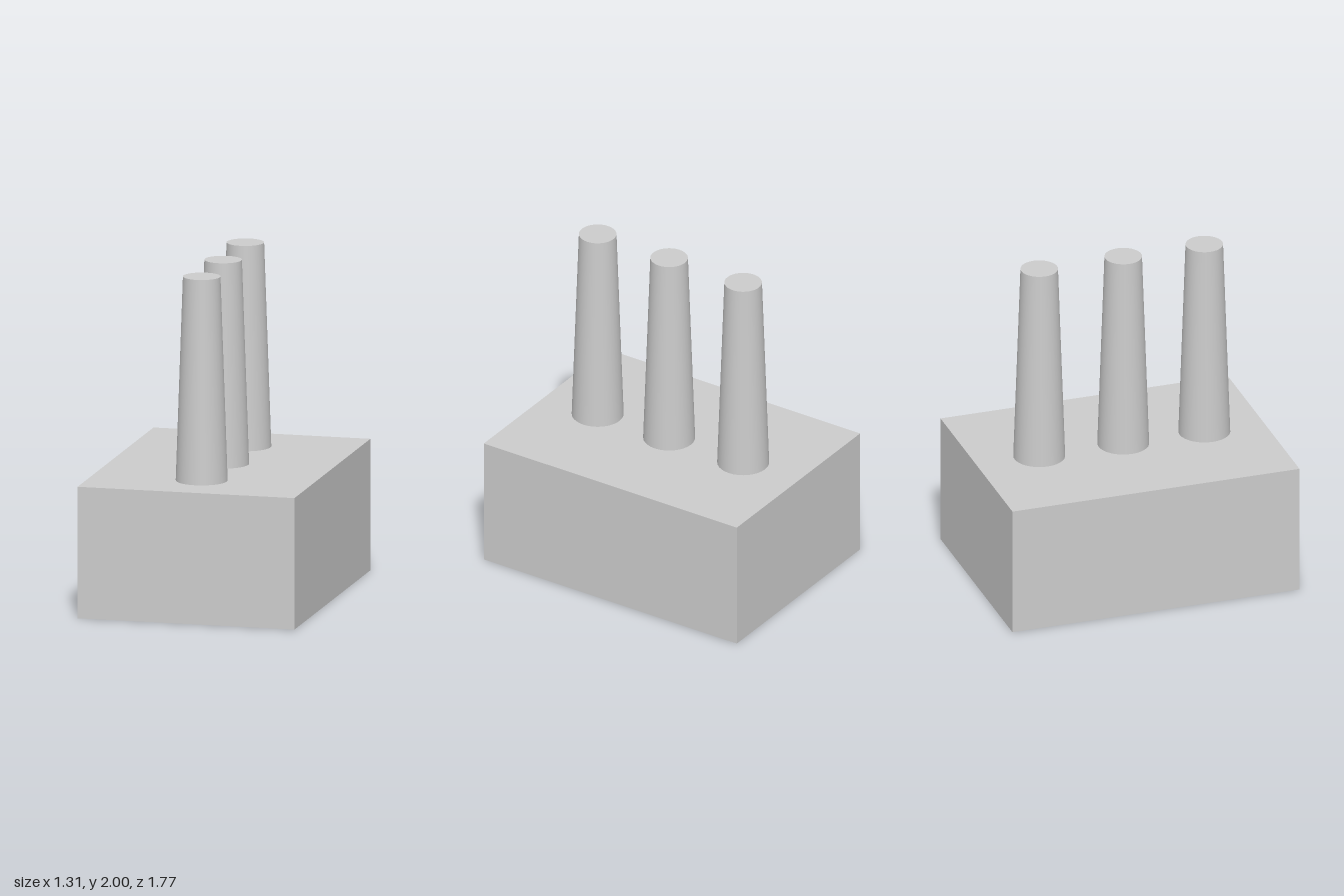
import * as THREE from 'three';

export function createModel() {
  const group = new THREE.Group();
  const material = new THREE.MeshStandardMaterial({ color: 0xcccccc });

  const add = (name, geometry, x, y, z) => {
    const mesh = new THREE.Mesh(geometry, material);
    mesh.name = name;
    mesh.position.set(x, y, z);
    group.add(mesh);
  };

  // Solid building block
  const width = 1.308, height = 0.784, depth = 1.77;
  add('building', new THREE.BoxGeometry(width, height, depth), 0, height / 2, 0);

  // Row of tapered chimneys along the roof's centre line
  const stackHeight = 2 - height;
  const stack = new THREE.CylinderGeometry(0.11, 0.152, stackHeight, 32);
  const positions = { frontChimney: 0.52, middleChimney: 0.02, backChimney: -0.498 };
  for (const [name, z] of Object.entries(positions)) {
    add(name, stack, 0, height + stackHeight / 2, z);
  }

  return group;
}
